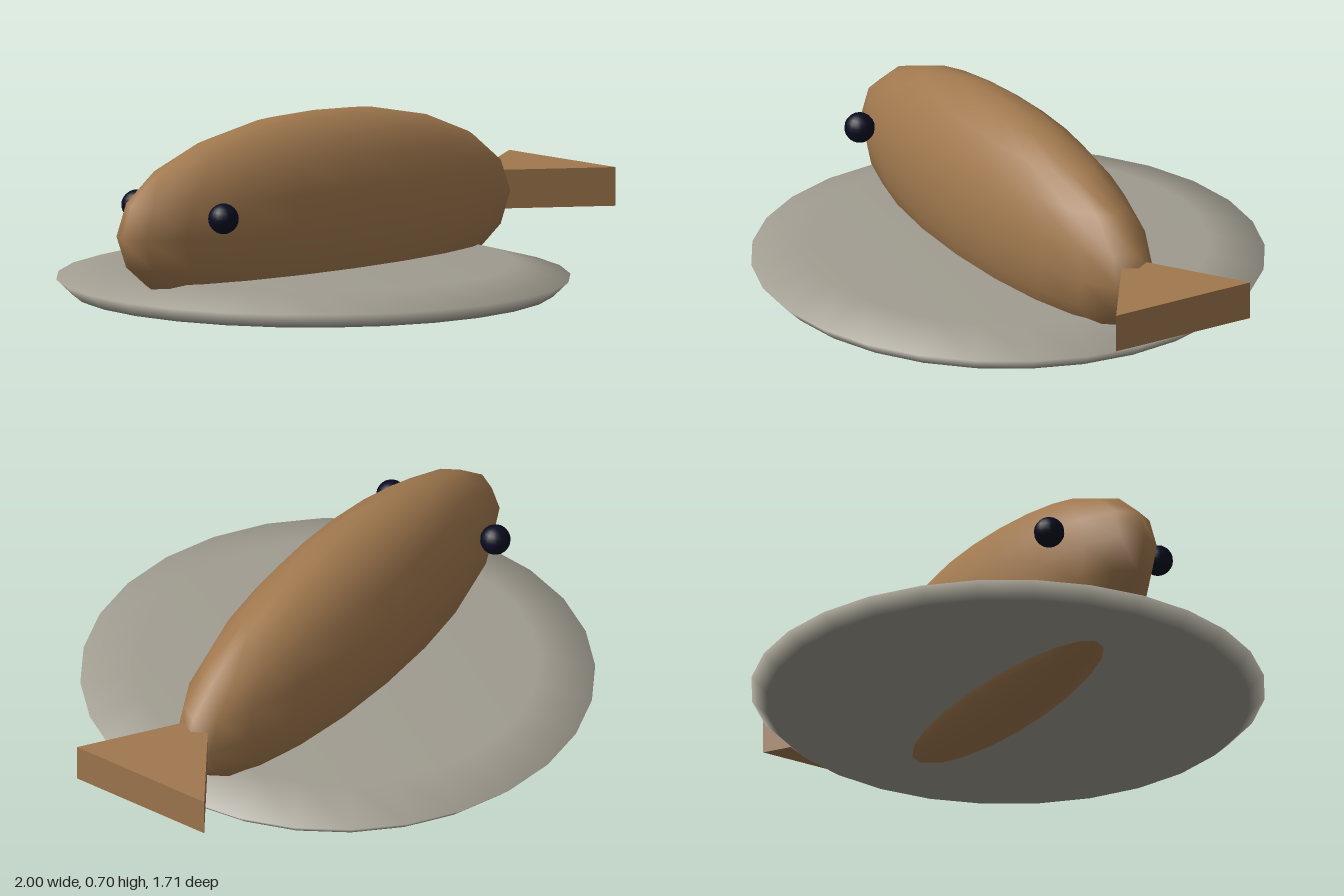
import * as THREE from 'three';

const brown = new THREE.MeshStandardMaterial({ color: 0xa0784e });
brown.name = 'fish brown';
const grey = new THREE.MeshStandardMaterial({ color: 0xa09c90 });
grey.name = 'plate grey';
const black = new THREE.MeshStandardMaterial({ color: 0x0a0a20 });
black.name = 'eye black';

const CENTRE_X = -0.13;

function addPart(group, name, geometry, material, x = 0, y = 0, z = 0) {
  const mesh = new THREE.Mesh(geometry, material);
  mesh.name = name;
  mesh.position.set(x, y, z);
  group.add(mesh);
  return mesh;
}

export function createModel() {
  const model = new THREE.Group();
  model.name = 'fishOnPlate';

  // Round plate: flat underside, sharp rim, gently sloped top edge
  const profile = [[0, 0.09], [0.805, 0.09], [0.857, 0.14], [0.67, 0.19], [0, 0.19]]
    .map(([r, y]) => new THREE.Vector2(r, y));
  addPart(model, 'plate', new THREE.LatheGeometry(profile, 28), grey, CENTRE_X);

  // Body: a long, narrow ellipsoid sunk through the plate
  const body = new THREE.SphereGeometry(1, 20, 10);
  body.scale(0.87, 0.348, 0.23);
  addPart(model, 'body', body, brown, CENTRE_X, 0.352, 0);

  // Tail: wedge widening away from the body, seen as a triangle from above
  const outline = new THREE.Shape([
    new THREE.Vector2(0.61, 0),
    new THREE.Vector2(1, -0.26),
    new THREE.Vector2(1, 0.26),
  ]);
  const tail = new THREE.ExtrudeGeometry(outline, { depth: 0.13, bevelEnabled: false });
  tail.rotateX(-Math.PI / 2);
  addPart(model, 'tail', tail, brown, 0, 0.29, 0);

  // Eyes on both sides of the head
  for (const side of [1, -1]) {
    addPart(model, side > 0 ? 'frontEye' : 'backEye',
      new THREE.SphereGeometry(0.051, 16, 12), black, -0.735, 0.42, side * 0.212);
  }

  return model;
}
